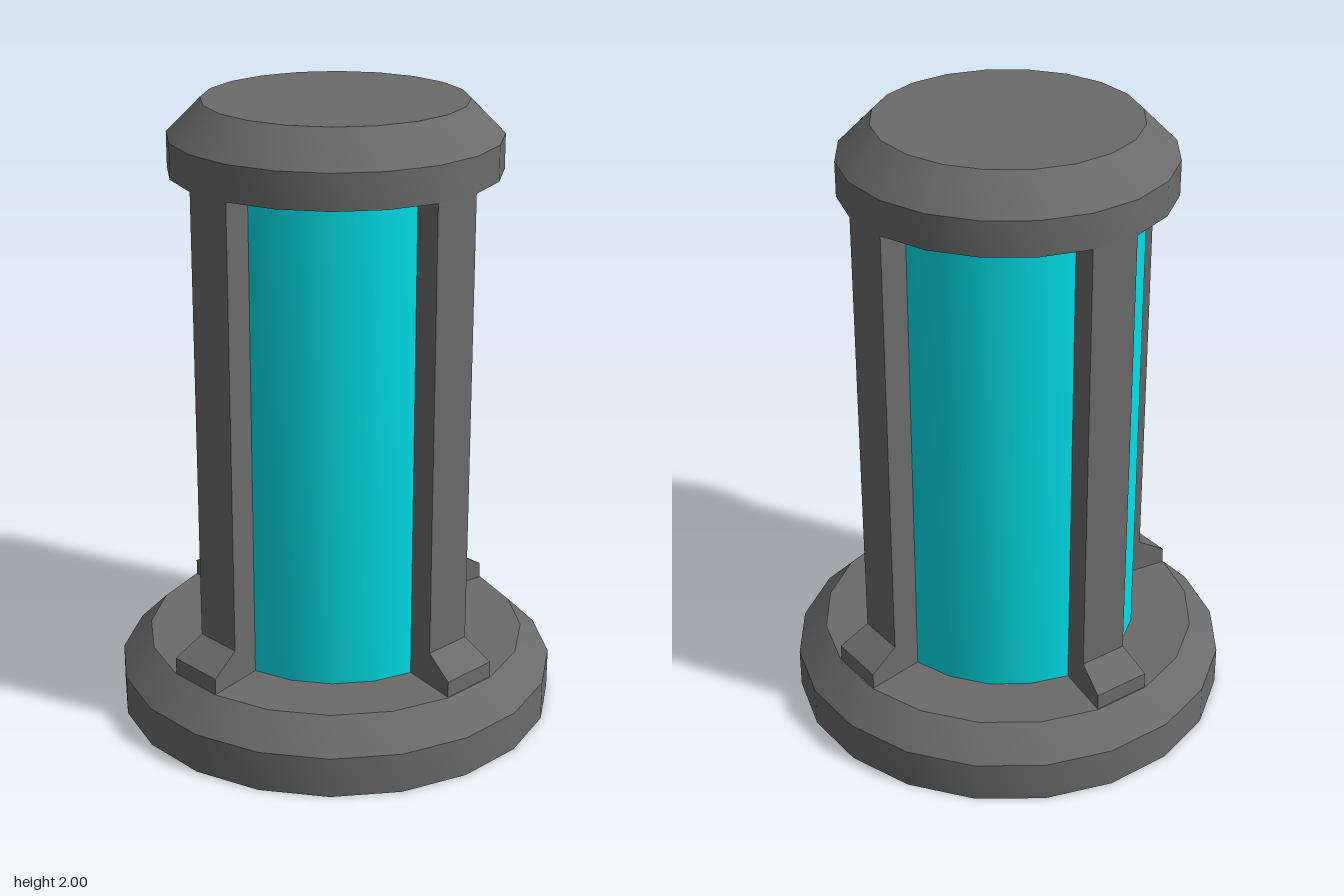
import * as THREE from 'three';
import { toCreasedNormals } from 'three/addons/utils/BufferGeometryUtils.js';

const SIDES = 20;
const STEP = (Math.PI * 2) / SIDES;

const darkGrey = new THREE.MeshStandardMaterial({ color: 0x6b6b6b });
const cyan = new THREE.MeshStandardMaterial({ color: 0x00e1ea });

// Turned solid from [radius, height] pairs, listed bottom to top
function turned(name, profile, material) {
  const points = profile.map(([r, y]) => new THREE.Vector2(r, y));
  const geometry = toCreasedNormals(new THREE.LatheGeometry(points, SIDES), Math.PI / 6);
  const mesh = new THREE.Mesh(geometry, material);
  mesh.name = name;
  return mesh;
}

// Wedge one facet wide: a [radius, height] outline swept between two radial planes
function wedge(profile) {
  const shape = new THREE.Shape(profile.map(([r, y]) => new THREE.Vector2(r, y)));
  const geometry = new THREE.ExtrudeGeometry(shape, { depth: 1, bevelEnabled: false });
  const pos = geometry.attributes.position;
  for (let i = 0; i < pos.count; i++) {
    const r = pos.getX(i);
    const angle = (pos.getZ(i) - 0.5) * STEP;
    pos.setXYZ(i, r * Math.cos(angle), pos.getY(i), r * Math.sin(angle));
  }
  geometry.computeVertexNormals();
  return geometry;
}

export function createModel() {
  const model = new THREE.Group();
  model.name = 'lantern';

  // Bevelled base, glowing core and bevelled cap
  model.add(
    turned('base', [[0, 0], [0.712, 0], [0.712, 0.132], [0.617, 0.228], [0, 0.228]], darkGrey),
    turned('core', [[0, 0.228], [0.42, 0.228], [0.42, 1.782], [0, 1.782]], cyan),
    turned('cap', [[0, 1.782], [0.517, 1.782], [0.517, 1.893], [0.41, 2], [0, 2]], darkGrey)
  );

  // Four diagonal posts, each flaring into a sloped foot
  const postGeometry = wedge([
    [0.42, 0.228], [0.614, 0.228], [0.614, 0.281],
    [0.517, 0.339], [0.517, 1.782], [0.42, 1.782],
  ]);
  for (let i = 0; i < 4; i++) {
    const post = new THREE.Mesh(postGeometry, darkGrey);
    post.name = `post${i + 1}`;
    post.rotation.y = Math.PI / 4 + (i * Math.PI) / 2;
    model.add(post);
  }

  return model;
}
